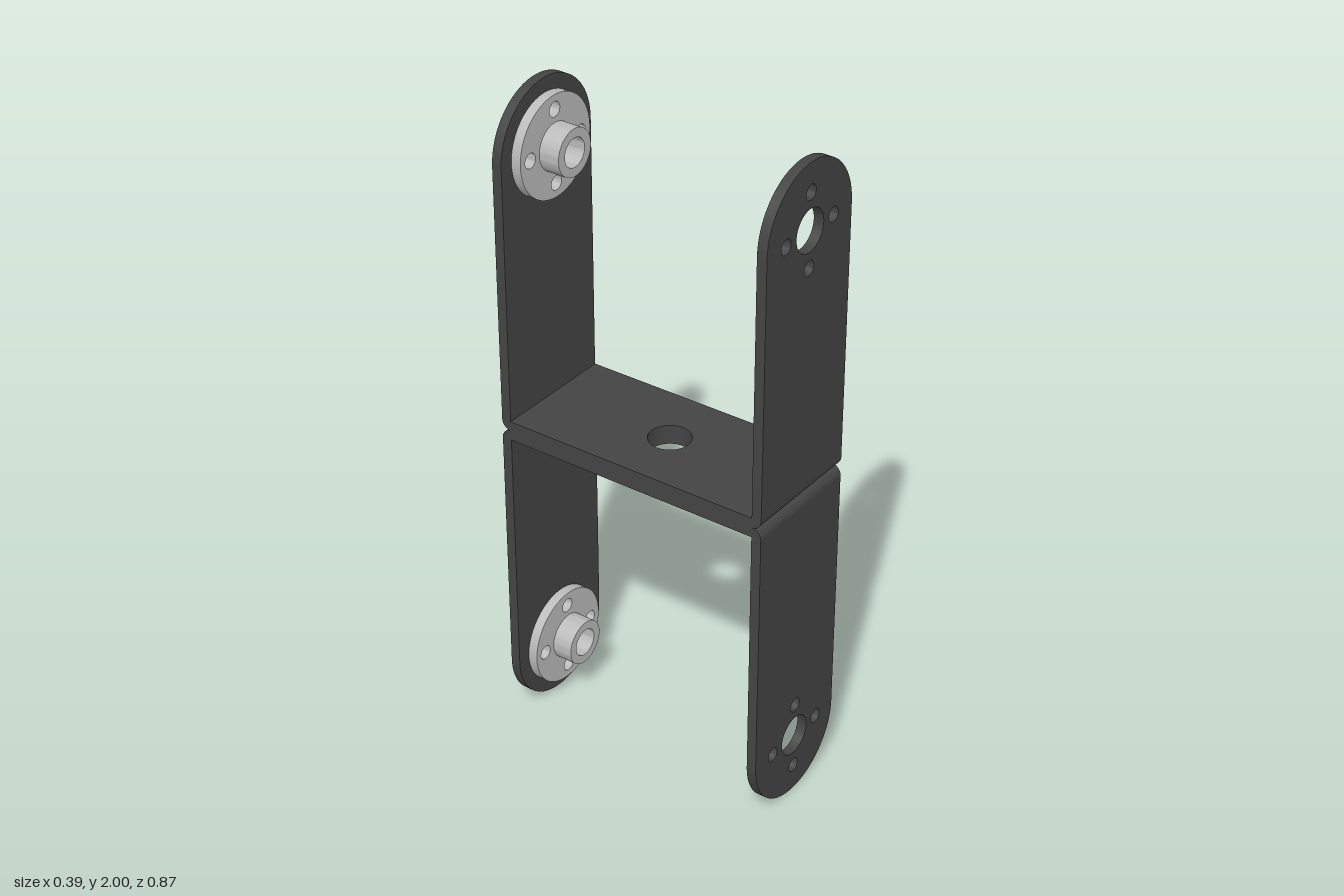
import * as THREE from 'three';
import { toCreasedNormals } from 'three/addons/utils/BufferGeometryUtils.js';

const HALF_W = 0.193;      // half width of the strip
const T = 0.03;            // sheet thickness
const INNER = 0.404;       // inner face of each arm (z)
const TIP = 0.807;         // height of the pivot above the base
const PIVOT_R = 0.062;
const SCREW_R = 0.022;
const SCREW_OFFSET = 0.108;

const dark = new THREE.MeshStandardMaterial({ color: 0x444444 });
const grey = new THREE.MeshStandardMaterial({ color: 0xbbbbbb });

function addHole(shape, x, y, r) {
  const hole = new THREE.Path();
  hole.absarc(x, y, r, 0, Math.PI * 2, true);
  shape.holes.push(hole);
}

function addScrewHoles(shape, y) {
  for (let i = 0; i < 4; i++) {
    const a = (i * Math.PI) / 2;
    addHole(shape, SCREW_OFFSET * Math.cos(a), y + SCREW_OFFSET * Math.sin(a), SCREW_R);
  }
}

function extrude(shape, depth) {
  const geo = new THREE.ExtrudeGeometry(shape, { depth, bevelEnabled: false, curveSegments: 32 });
  return toCreasedNormals(geo, 0.6);
}

function mesh(name, geo, material) {
  const m = new THREE.Mesh(geo, material);
  m.name = name;
  return m;
}

function circle(r) {
  const s = new THREE.Shape();
  s.absarc(0, 0, r, 0, Math.PI * 2, false);
  return s;
}

// Upright strip with a round end and a drilled pivot
function armGeometry() {
  const s = new THREE.Shape();
  s.moveTo(-HALF_W, T);
  s.lineTo(HALF_W, T);
  s.lineTo(HALF_W, TIP);
  s.absarc(0, TIP, HALF_W, 0, Math.PI, false);
  s.closePath();
  addHole(s, 0, TIP, PIVOT_R);
  addScrewHoles(s, TIP);
  return extrude(s, T);
}

// Flat web between the arms
function baseGeometry(smallHoles) {
  const s = new THREE.Shape();
  s.moveTo(-HALF_W, -INNER);
  s.lineTo(HALF_W, -INNER);
  s.lineTo(HALF_W, INNER);
  s.lineTo(-HALF_W, INNER);
  s.closePath();
  addHole(s, 0, 0, PIVOT_R);
  if (smallHoles) for (const z of [-0.3, 0.3]) addHole(s, 0, z, 0.019);
  return extrude(s, T).rotateX(-Math.PI / 2);
}

// Quarter-round bend joining the web to the front arm
function bendGeometry() {
  const s = new THREE.Shape();
  s.moveTo(0, T);
  s.lineTo(0, 0);
  s.absarc(0, T, T, -Math.PI / 2, 0, false);
  s.closePath();
  return extrude(s, HALF_W * 2).rotateY(-Math.PI / 2).translate(HALF_W, 0, INNER);
}

// Round coupling: drilled flange with a hollow hub
function createHorn() {
  const horn = new THREE.Group();
  horn.name = 'servoHorn';
  const flange = circle(0.15);
  addHole(flange, 0, 0, SCREW_R);
  addScrewHoles(flange, 0);
  const hub = circle(0.07);
  addHole(hub, 0, 0, 0.043);
  const hubMesh = mesh('hub', extrude(hub, 0.064), grey);
  hubMesh.position.z = 0.03;
  horn.add(mesh('flange', extrude(flange, 0.03), grey), hubMesh);
  horn.position.set(0, TIP, -INNER);
  return horn;
}

// U-shaped bracket standing on y = 0
function createBracket(name, smallHoles) {
  const bracket = new THREE.Group();
  bracket.name = name;
  bracket.add(mesh('base', baseGeometry(smallHoles), dark));
  const arm = armGeometry();
  const bend = bendGeometry();
  const frontArm = mesh('frontArm', arm, dark);
  frontArm.position.z = INNER;
  const backArm = mesh('backArm', arm, dark);
  backArm.position.z = -INNER - T;
  const backBend = mesh('backBend', bend, dark);
  backBend.rotation.y = Math.PI;
  bracket.add(frontArm, backArm, mesh('frontBend', bend, dark), backBend, createHorn());
  bracket.position.y = 1;
  return bracket;
}

export function createModel() {
  const model = new THREE.Group();
  model.name = 'doubleServoBracket';
  const lower = createBracket('lowerBracket', true);
  lower.rotation.z = Math.PI;
  model.add(createBracket('upperBracket', false), lower);
  return model;
}
